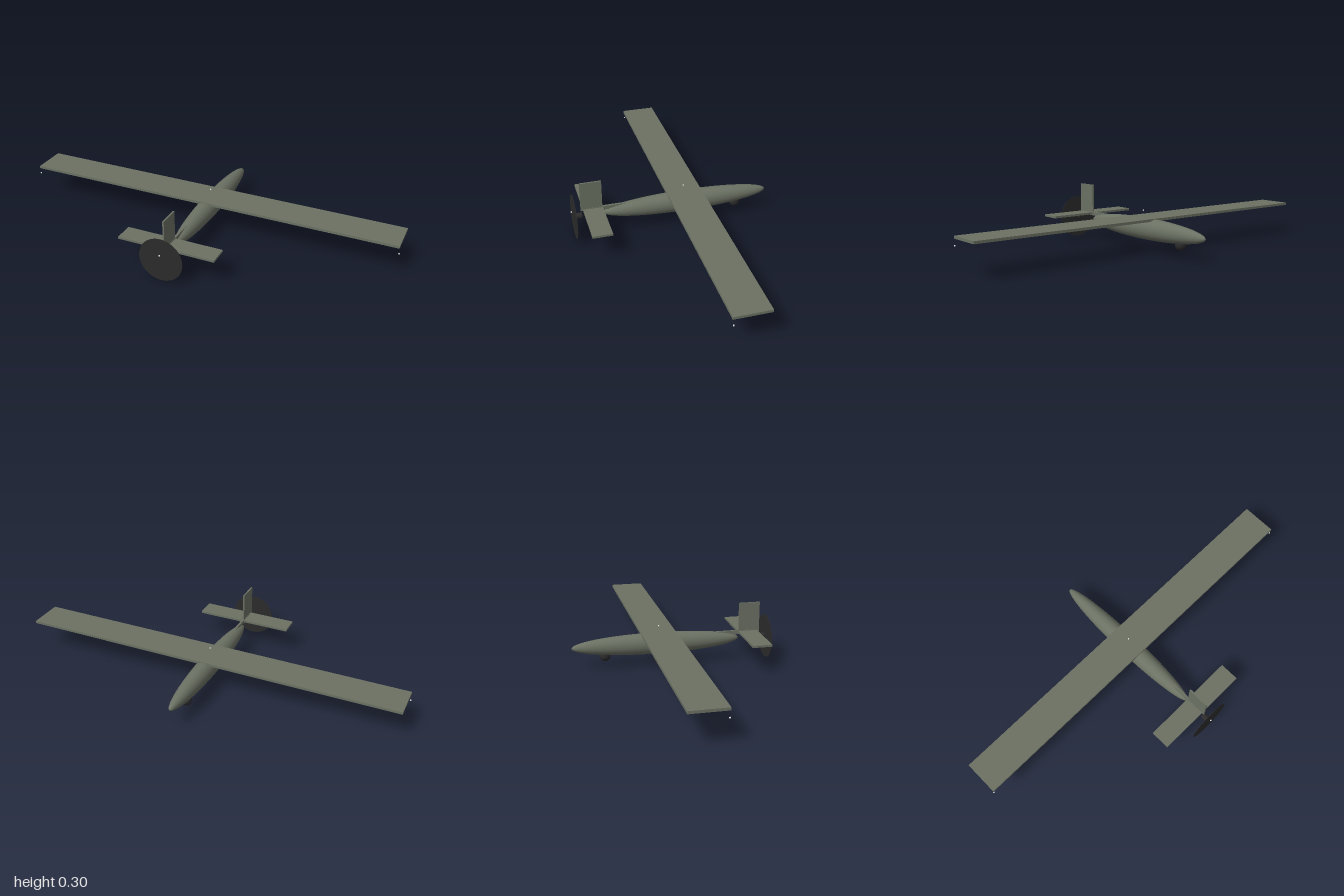
import * as THREE from 'three';

const mat = (name, color) => Object.assign(new THREE.MeshStandardMaterial({ color }), { name });

export function createModel() {
  const model = new THREE.Group();
  model.name = 'drone';
  const olive = mat('oliveGrey', 0x6b7163);
  const dark = mat('darkGrey', 0x2b2b2b);
  const white = mat('lampWhite', 0xe8e8e8);

  const add = (name, geometry, material, x, y, z) => {
    const mesh = new THREE.Mesh(geometry, material);
    mesh.name = name;
    mesh.position.set(x, y, z);
    model.add(mesh);
    return mesh;
  };
  const box = (name, w, h, d, x, y, z) => add(name, new THREE.BoxGeometry(w, h, d), olive, x, y, z);

  // Slender ellipsoid body, nose towards -z
  const body = new THREE.SphereGeometry(1, 40, 32).rotateX(Math.PI / 2).scale(0.05, 0.055, 0.432);
  add('fuselage', body, olive, 0, 0.113, -0.08);

  // Flying surfaces and tail boom
  box('wing', 1.992, 0.013, 0.179, 0, 0.1635, -0.07);
  box('tailBoom', 0.012, 0.02, 0.26, 0, 0.141, 0.292);
  box('tailplane', 0.5, 0.011, 0.1, 0, 0.142, 0.403);
  box('fin', 0.008, 0.157, 0.11, 0, 0.2185, 0.41);

  // Pusher motor and propeller disc
  add('motor', new THREE.CylinderGeometry(0.016, 0.016, 0.034, 24).rotateX(Math.PI / 2), dark, 0, 0.113, 0.477);
  add('propellerDisc', new THREE.CylinderGeometry(0.112, 0.112, 0.002, 48).rotateX(Math.PI / 2), dark, 0, 0.112, 0.5);

  // Camera ball under the nose
  add('cameraBall', new THREE.SphereGeometry(0.028, 24, 16), dark, 0, 0.065, -0.345);

  // Small navigation lamps
  const lamp = new THREE.SphereGeometry(0.004, 12, 8);
  add('leftLamp', lamp, white, 0.996, 0.126, 0.014);
  add('rightLamp', lamp, white, -0.996, 0.126, 0.014);
  add('topLamp', lamp, white, 0, 0.203, -0.068);
  add('tailLamp', lamp, white, 0, 0.141, 0.511);

  return model;
}
